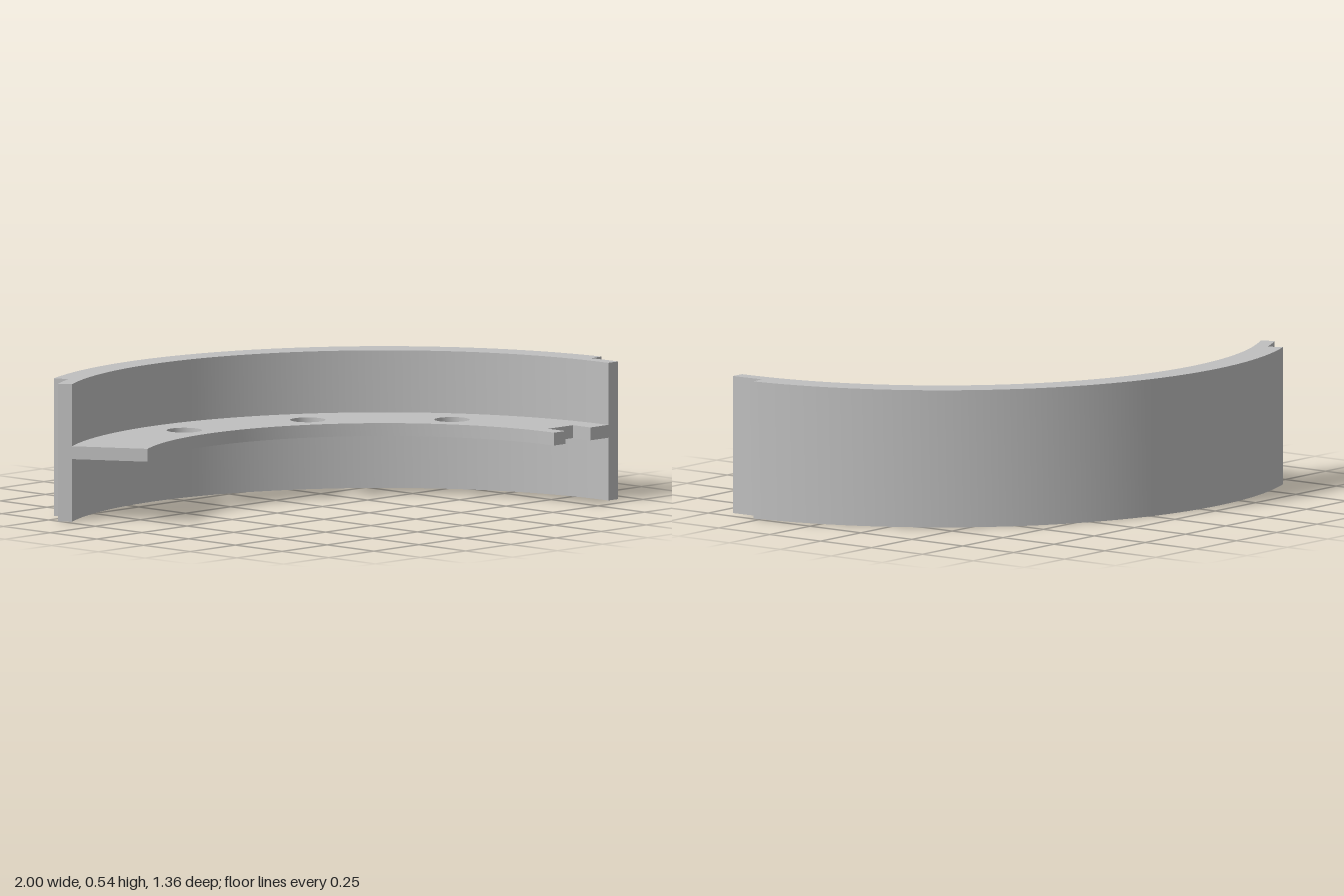
import * as THREE from 'three';
import { toCreasedNormals } from 'three/addons/utils/BufferGeometryUtils.js';

// Curved brake shoe: a 120 degree rim with stepped ends, and a drilled web inside it.
const CX = -0.355, CZ = 0.675;          // centre of all arcs
const R_WEB = 0.94, R_RIM = 1.24, R_STEP = 1.295, R_OUT = 1.355;
const HEIGHT = 0.535, WEB_Y = 0.244, WEB_T = 0.05;
const rad = THREE.MathUtils.degToRad;

// Points along an arc, angles in degrees, measured from +x towards the back
function arc(r, from, to, n) {
  const pts = [];
  for (let i = 0; i <= n; i++) {
    const a = rad(from + (to - from) * i / n);
    pts.push(new THREE.Vector2(r * Math.cos(a), r * Math.sin(a)));
  }
  return pts;
}

// Extrude a plan outline upwards from height y
function plate(name, shape, y, depth, material) {
  let geo = new THREE.ExtrudeGeometry(shape, { depth, bevelEnabled: false, curveSegments: 20 });
  geo.rotateX(-Math.PI / 2);
  geo = toCreasedNormals(geo, rad(30));
  const mesh = new THREE.Mesh(geo, material);
  mesh.name = name;
  mesh.position.set(CX, y, CZ);
  return mesh;
}

export function createModel() {
  const group = new THREE.Group();
  group.name = 'curvedShoe';
  const metal = new THREE.MeshStandardMaterial({ color: 0xbfbfbf });
  metal.name = 'plain grey metal';

  // Rim: full outer radius between 6 and 114 degrees, thinner at both ends
  const rim = new THREE.Shape([
    ...arc(R_STEP, 0, 6, 4),
    ...arc(R_OUT, 6, 114, 72),
    ...arc(R_STEP, 114, 120, 4),
    ...arc(R_RIM, 120, 0, 80),
  ]);
  group.add(plate('rim', rim, 0, HEIGHT, metal));

  // Web: flat inner flange with a rectangular notch in its right-hand end
  const notchIn = 0.648 - CX, notchOut = 0.785 - CX, notchDepth = 0.092;
  const web = new THREE.Shape([
    ...arc(R_RIM, 0, 120, 80),
    ...arc(R_WEB, 120, 0, 80),
    new THREE.Vector2(notchIn, 0),
    new THREE.Vector2(notchIn, notchDepth),
    new THREE.Vector2(notchOut, notchDepth),
    new THREE.Vector2(notchOut, 0),
  ]);

  // Three round holes on one pitch circle
  for (const deg of [30, 60, 90]) {
    const a = rad(deg);
    const hole = new THREE.Path();
    hole.absarc(1.072 * Math.cos(a), 1.072 * Math.sin(a), 0.068, 0, Math.PI * 2, true);
    web.holes.push(hole);
  }
  group.add(plate('web', web, WEB_Y, WEB_T, metal));

  return group;
}
